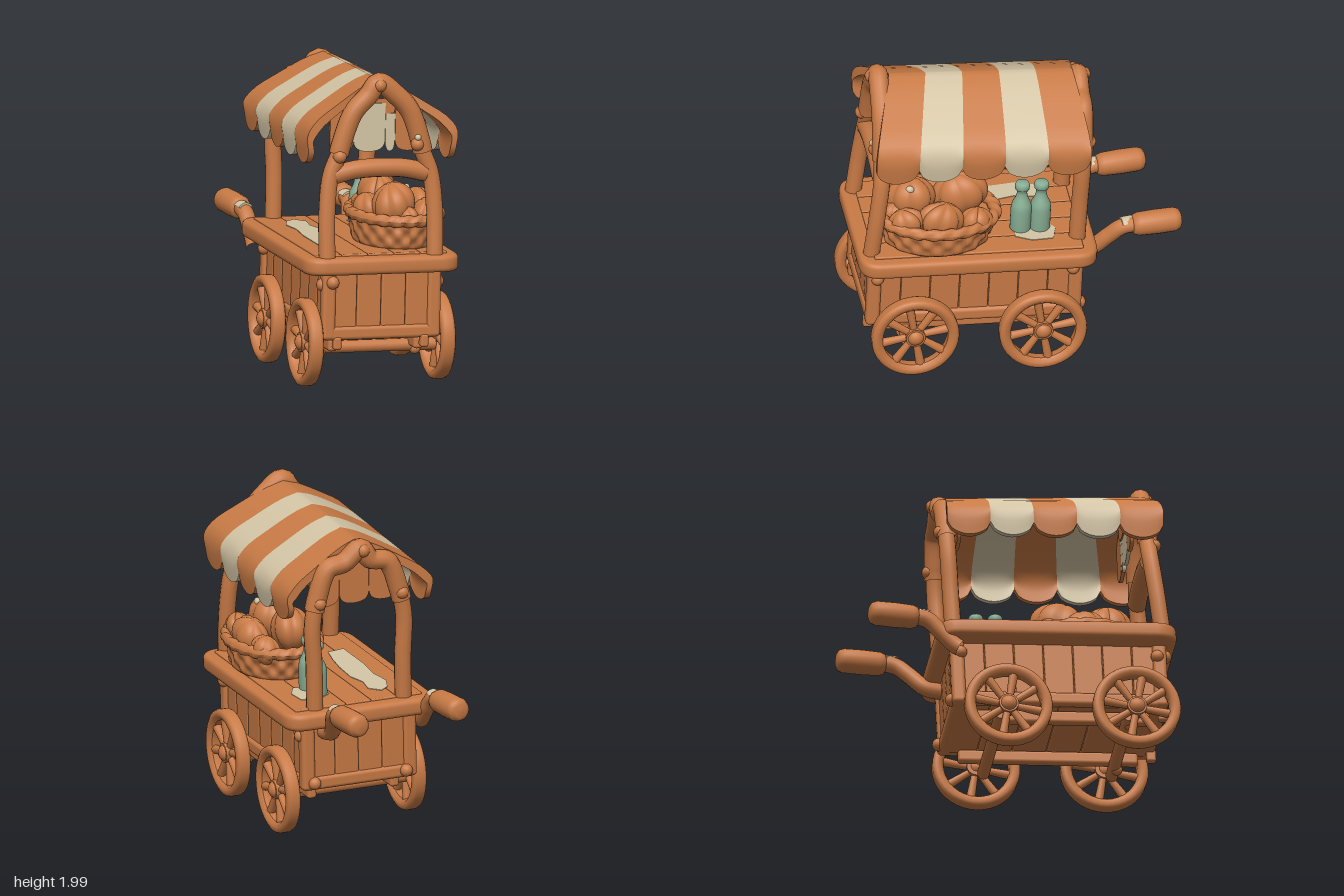
import * as THREE from 'three';
import { toCreasedNormals } from 'three/addons/utils/BufferGeometryUtils.js';
import { RoundedBoxGeometry } from 'three/addons/geometries/RoundedBoxGeometry.js';

const mat = (name, color) => {
  const m = new THREE.MeshStandardMaterial({ color });
  m.name = name;
  return m;
};
const V = (x, y, z) => new THREE.Vector3(x, y, z);
const lathe = (pts, n) => new THREE.LatheGeometry(pts.map(p => new THREE.Vector2(...p)), n);

export function createModel() {
  const wood = mat('warmWood', 0xc87a45);
  const cream = mat('creamPaint', 0xd3c4a4);
  const green = mat('bottleGreen', 0x86ad93);

  const model = new THREE.Group();
  const cart = new THREE.Group();
  cart.name = 'cart';
  model.add(cart);

  const add = (name, geo, m = wood, x = 0, y = 0, z = 0, parent = cart) => {
    const mesh = new THREE.Mesh(geo, m);
    mesh.name = name;
    mesh.position.set(x, y, z);
    parent.add(mesh);
    return mesh;
  };
  const rbox = (w, h, d, r = 0.02) => new RoundedBoxGeometry(w, h, d, 3, r);
  const bolt = (x, y, z, r = 0.04) => add('bolt', new THREE.SphereGeometry(r, 14, 10), wood, x, y, z);
  const tube = (pts, r, n = 40) => new THREE.TubeGeometry(new THREE.CatmullRomCurve3(pts), n, r, 12);

  // Table top: rounded slab with long boards
  const slab = (w, d, h, r, bevel) => {
    const s = new THREE.Shape(), a = w / 2 - bevel, b = d / 2 - bevel;
    s.moveTo(-a + r, -b).lineTo(a - r, -b).quadraticCurveTo(a, -b, a, -b + r);
    s.lineTo(a, b - r).quadraticCurveTo(a, b, a - r, b).lineTo(-a + r, b);
    s.quadraticCurveTo(-a, b, -a, b - r).lineTo(-a, -b + r).quadraticCurveTo(-a, -b, -a + r, -b);
    const g = new THREE.ExtrudeGeometry(s, { depth: h - 2 * bevel, bevelSize: bevel, bevelThickness: bevel, bevelSegments: 4, curveSegments: 6 });
    g.translate(0, 0, -(h - 2 * bevel) / 2).rotateX(Math.PI / 2);
    return toCreasedNormals(g, 0.7);
  };
  add('tableTop', slab(0.98, 1.46, 0.105, 0.1, 0.03), wood, 0.012, 0.803, 0.24);
  for (let i = 0; i < 5; i++) add('tableBoard', rbox(0.162, 0.03, 1.28, 0.008), wood, 0.012 + (i - 2) * 0.166, 0.853, 0.24);

  // Worn paint on the table
  const patch = (pts, x, z) => {
    const g = new THREE.ExtrudeGeometry(new THREE.Shape(pts.map(p => new THREE.Vector2(...p))), { depth: 0.004, bevelEnabled: false });
    add('paintPatch', g.rotateX(-Math.PI / 2), cream, x, 0.868, z);
  };
  patch([[-0.08, -0.42], [0.03, -0.4], [0.06, -0.25], [0.08, -0.1], [0.09, 0.1], [0.06, 0.22], [0.08, 0.35], [0.02, 0.42],
    [-0.04, 0.37], [-0.08, 0.25], [-0.06, 0.1], [-0.08, -0.1]], -0.21, 0.15);
  patch([[-0.1, -0.1], [0.05, -0.13], [0.1, -0.03], [0.09, 0.1], [-0.02, 0.13], [-0.11, 0.06]], 0.23, -0.13);

  // Cabinet: core, boards, rails and corner posts
  const zb = -0.405, zf = 0.9, zc = (zb + zf) / 2, len = zf - zb, cx = 0.015;
  add('cabinetCore', new THREE.BoxGeometry(0.66, 0.4, len - 0.06), wood, cx, 0.57, zc);
  for (const s of [-1, 1]) {
    const zEnd = s > 0 ? zf - 0.025 : zb + 0.025;
    for (let i = 0; i < 7; i++) add('sideBoard', rbox(0.03, 0.38, 0.174, 0.01), wood, cx + s * 0.335, 0.58, zb + 0.113 + i * 0.18);
    for (let i = 0; i < 4; i++) add('endBoard', rbox(0.15, 0.38, 0.03, 0.01), wood, cx + (i - 1.5) * 0.154, 0.58, zEnd);
    add('sideRail', rbox(0.06, 0.085, len, 0.025), wood, cx + s * 0.34, 0.385, zc);
    add('endRail', rbox(0.72, 0.085, 0.06, 0.025), wood, cx, 0.385, zEnd);
    for (const z of [zb + 0.035, zf - 0.035]) add('cornerPost', rbox(0.085, 0.43, 0.085, 0.025), wood, cx + s * 0.332, 0.56, z);
    bolt(cx + s * 0.362, 0.685, zb + 0.055);
    bolt(cx + s * 0.362, 0.68, zf - 0.05);
    bolt(cx + s * 0.3, 0.39, zb - 0.005);
  }
  bolt(-0.3, 0.7, zf + 0.005);
  for (let i = 0; i < 6; i++) add('floorBoard', rbox(0.64, 0.03, 0.2, 0.01), wood, cx, 0.36, zb + 0.125 + i * 0.21);

  // Undercarriage
  for (const s of [-1, 1]) {
    add('chassisBeam', rbox(0.06, 0.08, 1.1, 0.02), wood, cx + s * 0.27, 0.295, zc);
    add('frontFoot', rbox(0.05, 0.08, 0.06, 0.015), wood, cx + s * 0.275, 0.325, zf - 0.02);
    bolt(s * 0.3, 0.235, 0.67, 0.034);
  }

  // Wheels with axles
  const R = 0.268, ri = 0.2, h = 0.045, e = 0.022;
  const rimGeo = lathe([[ri, -h + e], [ri + e, -h], [R - e, -h], [R - 0.006, -h + 0.008], [R, -h + e], [R, h - e],
    [R - 0.006, h - 0.008], [R - e, h], [ri + e, h], [ri, h - e], [ri, -h + e]], 40).rotateZ(Math.PI / 2);
  for (const z of [0.615, -0.168]) {
    add('axle', new THREE.CylinderGeometry(0.038, 0.038, 0.82, 16).rotateZ(Math.PI / 2), wood, 0.02, 0.258, z + 0.04);
    for (const s of [-1, 1]) {
      const wheel = new THREE.Group();
      wheel.name = 'wheel';
      wheel.position.set(0.025 + s * 0.43, 0.304, s < 0 ? z + 0.085 : z);
      cart.add(wheel);
      add('rim', rimGeo, wood, 0, 0, 0, wheel);
      add('hub', new THREE.CylinderGeometry(0.06, 0.06, 0.07, 18).rotateZ(Math.PI / 2), wood, 0, 0, 0, wheel);
      add('hubCap', new THREE.SphereGeometry(0.056, 16, 12), wood, s * 0.008, 0, 0, wheel);
      for (let i = 0; i < 8; i++) {
        const g = new THREE.CylinderGeometry(0.029, 0.021, 0.18, 10).translate(0, 0.13, 0);
        add('spoke', g.rotateX(i * Math.PI / 4 + 0.2), wood, 0, 0, 0, wheel);
      }
    }
  }

  // Arches carrying the roof: two leaning posts and a thicker pointed top
  const mirrorPath = (half, z, top, lean) => {
    const side = s => half.map(p => V(s * p[0] + 0.005, p[1], z + lean * Math.max(0, 1.4 - p[1])));
    return [...side(-1), V(-0.02, top, z), ...side(1).reverse()];
  };
  const arch = (name, z, top, w, ws, lean, bolts) => {
    const mid = (w + ws) / 2, upper = [[ws + 0.015, 1.48], [ws, 1.54], [ws * 0.72, 1.73], [0.085, top - 0.075]];
    add(name, tube(mirrorPath([[w, 0.82], [w, 1.12], [mid + 0.02, 1.35], ...upper], z, top, lean), 0.052, 80));
    add(name + 'Top', tube(mirrorPath(upper, z, top, lean), 0.062, 60));
    for (const [x, y] of bolts) bolt(x, y, z + Math.sign(z) * 0.037, 0.042);
  };
  arch('frontArch', 0.84, 1.91, 0.34, 0.25, 0.09, [[-0.02, 1.9], [-0.265, 1.47], [0.225, 1.53]]);
  arch('backArch', -0.39, 1.835, 0.29, 0.27, 0.02, [[-0.02, 1.83], [-0.27, 1.53], [0.27, 1.53]]);
  add('crossbar', tube([V(-0.29, 1.35, 0.84), V(-0.15, 1.38, 0.84), V(0, 1.388, 0.84), V(0.15, 1.38, 0.84), V(0.29, 1.35, 0.84)], 0.058));
  add('paintDab', new THREE.SphereGeometry(0.02, 12, 8), cream, 0.222, 1.575, 0.896);

  // Striped canopy: each stripe is a lofted band ending in a scallop on both sides
  const half = new THREE.CatmullRomCurve3([V(0, 1.92, 0), V(0.1, 1.885, 0), V(0.28, 1.785, 0), V(0.425, 1.69, 0), V(0.48, 1.61, 0), V(0.472, 1.51, 0)]).getPoints(16);
  const profile = [...half.slice(1).reverse().map(p => [-p.x, p.y]), ...half.map(p => [p.x * 0.98, p.y])];
  const n = profile.length, steps = 12, stripes = 5;
  const stripe = k => {
    const pos = [], idx = [];
    for (let j = 0; j <= steps; j++) {
      const v = j / steps, t = (k + v) / stripes;
      const drop = 0.085 * Math.sqrt(Math.sin(Math.PI * Math.min(v, 0.9999)));
      const pt = (x, y, lower) => {
        const s = Math.abs(x) / 0.48, hang = THREE.MathUtils.clamp((1.66 - y) / 0.15, 0, 1);
        pos.push(x * (lower ? 0.92 : 1), y - hang * drop - (lower ? 0.045 * (1 - hang) : 0) - 0.035 * (1 - t) * (1 - hang),
          THREE.MathUtils.lerp(-0.35 - 0.06 * s, 0.775 + 0.135 * s, t));
      };
      profile.forEach(p => pt(p[0], p[1], false));
      [...profile].reverse().forEach(p => pt(p[0], p[1], true));
    }
    const m = 2 * n;
    for (let j = 0; j < steps; j++) for (let i = 0; i < m; i++) {
      const a = j * m + i, b = j * m + (i + 1) % m;
      idx.push(a, a + m, b, b, a + m, b + m);
    }
    for (let i = 0; i < n - 1; i++) {
      const o = steps * m, q = m - 1 - i;
      idx.push(o + i, o + q, o + i + 1, o + i + 1, o + q, o + q - 1);
      idx.push(i, i + 1, q, i + 1, q - 1, q);
    }
    const g = new THREE.BufferGeometry();
    g.setAttribute('position', new THREE.Float32BufferAttribute(pos, 3));
    g.setIndex(idx);
    return toCreasedNormals(g, 0.9);
  };
  for (let k = 0; k < stripes; k++) add('canopyStripe', stripe(k), k % 2 ? cream : wood);

  // Scalloped cloth hanging in both gables
  const flap = (x0, x1, m, z, lift, b = 1.47, cap = 2) => {
    const roof = x => Math.min(cap, 1.82 + lift - 0.46 * Math.abs(x)), c = (x0 + x1) / 2;
    const s = new THREE.Shape().moveTo(x1, roof(x1)).lineTo(x0, roof(x0)).lineTo(x0, b + 0.07);
    s.quadraticCurveTo(x0, b, c, b).quadraticCurveTo(x1, b, x1, b + 0.07);
    add('gableFlap', new THREE.ExtrudeGeometry(s, { depth: 0.022, bevelEnabled: false }), m, 0, 0, z);
  };
  flap(-0.29, -0.142, wood, 0.73, 0.03);
  flap(-0.14, 0.058, cream, 0.73, 0.03, 1.47, 1.765);
  flap(0.06, 0.12, cream, 0.73, 0.03, 1.47, 1.7);
  flap(-0.14, 0.12, wood, 0.722, 0.03, 1.66);
  flap(0.122, 0.29, wood, 0.73, 0.03);
  for (const x of [-0.29, -0.096, 0.098]) flap(x, x + 0.192, wood, -0.325, 0);

  // Basket with woven wall and rope rim
  const basket = new THREE.Group();
  basket.name = 'basket';
  basket.position.set(0.212, 0.865, 0.475);
  basket.scale.set(0.79, 1, 1.045);
  cart.add(basket);
  const wall = lathe(Array.from({ length: 17 }, (_, i) => {
    const t = Math.max(0, i - 1) / 15;
    return [i ? 0.295 + 0.04 * Math.sqrt(t) : 0.001, 0.17 * t];
  }), 96);
  const ripple = (g, f) => {
    const p = g.attributes.position, v = V(0, 0, 0);
    for (let i = 0; i < p.count; i++) p.setXYZ(i, ...f(v.fromBufferAttribute(p, i)).toArray());
    g.computeVertexNormals();
    return g;
  };
  ripple(wall, v => {
    const k = 1 + 0.04 * Math.sin(16 * Math.atan2(v.z, v.x)) * Math.sin(v.y / 0.17 * Math.PI * 3);
    return v.set(v.x * k, v.y, v.z * k);
  });
  add('basketWall', wall, wood, 0, 0, 0, basket);
  const rope = ripple(new THREE.TorusGeometry(0.34, 0.036, 12, 110).rotateX(Math.PI / 2), v => {
    const a = Math.atan2(v.z, v.x), c = V(0.34 * Math.cos(a), 0, 0.34 * Math.sin(a)), d = v.clone().sub(c);
    const t = Math.atan2(d.y, Math.hypot(v.x, v.z) - 0.34);
    return v.copy(c).addScaledVector(d, 1 + 0.12 * Math.sin(22 * a + 2 * t));
  });
  add('basketRim', rope, wood, 0, 0.18, 0, basket);
  add('basketFill', new THREE.CylinderGeometry(0.32, 0.3, 0.04, 32), wood, 0, 0.14, 0, basket);

  // Ribbed round loaves, one with a dab of paint
  [[-0.07, 0.255, 0.15, 0.145], [-0.08, 0.265, -0.14, 0.15], [0.18, 0.21, 0, 0.125], [0.17, 0.18, -0.21, 0.1],
    [0.17, 0.2, 0.2, 0.1], [-0.22, 0.2, 0, 0.11], [0, 0.18, 0.25, 0.08], [-0.18, 0.18, -0.2, 0.09]].forEach(([x, y, z, r], i) => {
    const g = ripple(new THREE.SphereGeometry(r, 40, 20), v => {
      const a = Math.atan2(v.z, v.x), flat = Math.hypot(v.x, v.z) / r;
      return v.multiplyScalar(1 - 0.12 * flat * Math.pow(Math.abs(Math.cos(3 * a)), 8));
    });
    const loaf = add('loaf', g, wood, x, y, z, basket);
    loaf.scale.set(1.15, 0.92, 1);
    loaf.rotation.set(0.25 * Math.sin(i * 2), i, 0.3 * Math.cos(i));
  });
  add('paintDab', new THREE.SphereGeometry(0.026, 12, 8), cream, 0.025, 0.355, 0.17, basket);

  // Bottles
  const bottle = lathe([[0, 0], [0.055, 0], [0.064, 0.012], [0.064, 0.15], [0.058, 0.19], [0.04, 0.225], [0.031, 0.26], [0.032, 0.285],
    [0.044, 0.295], [0.046, 0.32], [0.038, 0.336], [0, 0.34]], 24);
  for (const z of [-0.047, -0.165]) add('bottle', bottle, green, 0.19, 0.864, z);

  // The cart leans and turns a little
  cart.rotation.set(-0.04, -0.152, -0.035, 'YXZ');
  cart.position.x = -0.01;

  // Push handles with thick grips
  const grip = lathe([[0, -0.155], [0.04, -0.153], [0.063, -0.14], [0.074, -0.11], [0.076, 0], [0.072, 0.11], [0.062, 0.14], [0.04, 0.153], [0, 0.155]], 22)
    .rotateX(Math.PI / 2);
  [['rightHandle', -0.33, -0.295, -0.28, -0.44], ['leftHandle', 0.31, 0.4, 0.425, -0.32]].forEach(([name, x0, x1, x2, z0]) => {
    const handle = new THREE.Group();
    handle.name = name;
    model.add(handle);
    const path = [V(x0, 0.68, z0), V(x0 + 0.01, 0.7, -0.47), V((x0 + x1) / 2 + 0.01, 0.79, -0.56), V(x1, 0.86, -0.64), V(x2, 0.875, -0.78)];
    add('stalk', tube(path, 0.05), wood, 0, 0, 0, handle);
    const worn = new THREE.CylinderGeometry(0.053, 0.053, 0.07, 16, 1, false, -1, 2).rotateX(Math.PI / 2).rotateZ(Math.PI);
    add('wornPaint', worn, cream, x1, 0.868, -0.665, handle);
    add('grip', grip, wood, x2, 0.87, -0.845, handle).rotation.y = (x1 - x2) * 3;
  });
  return model;
}
